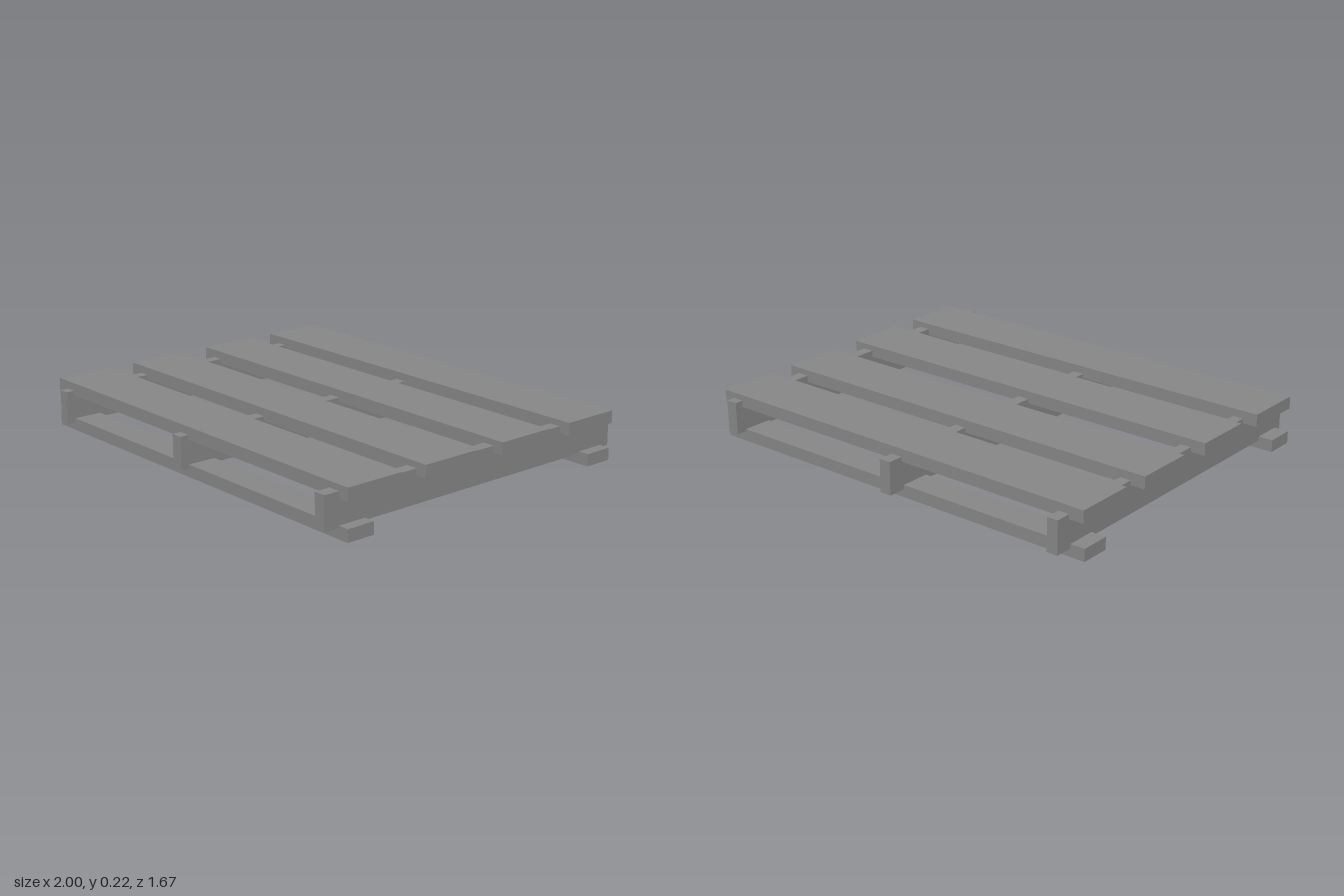
import * as THREE from 'three';

export function createModel() {
  const group = new THREE.Group();
  const material = new THREE.MeshStandardMaterial({ color: 0x868686, flatShading: true });

  // Plank given by its [min, max] extent on each axis
  function plank(name, [x0, x1], [y0, y1], [z0, z1]) {
    const mesh = new THREE.Mesh(new THREE.BoxGeometry(x1 - x0, y1 - y0, z1 - z0), material);
    mesh.name = name;
    mesh.position.set((x0 + x1) / 2, (y0 + y1) / 2, (z0 + z1) / 2);
    group.add(mesh);
  }

  // Wide deck boards on top
  [0.622, 0.215, -0.219, -0.624].forEach((z, i) =>
    plank(`deckBoard${i + 1}`, [-1, 1], [0.166, 0.223], [z - 0.139, z + 0.139]));

  // Narrow boards on the ground
  plank('frontBottomBoard', [-1, 1], [0, 0.056], [0.627, 0.761]);
  plank('backBottomBoard', [-1, 1], [0, 0.056], [-0.752, -0.615]);

  // Upright stringers, set slightly unevenly
  plank('leftStringer', [0.894, 0.949], [0.046, 0.196], [-0.802, 0.835]);
  plank('middleStringer', [-0.063, -0.008], [0.037, 0.187], [-0.835, 0.802]);
  plank('rightStringer', [-0.931, -0.88], [0.037, 0.187], [-0.835, 0.802]);

  return group;
}
